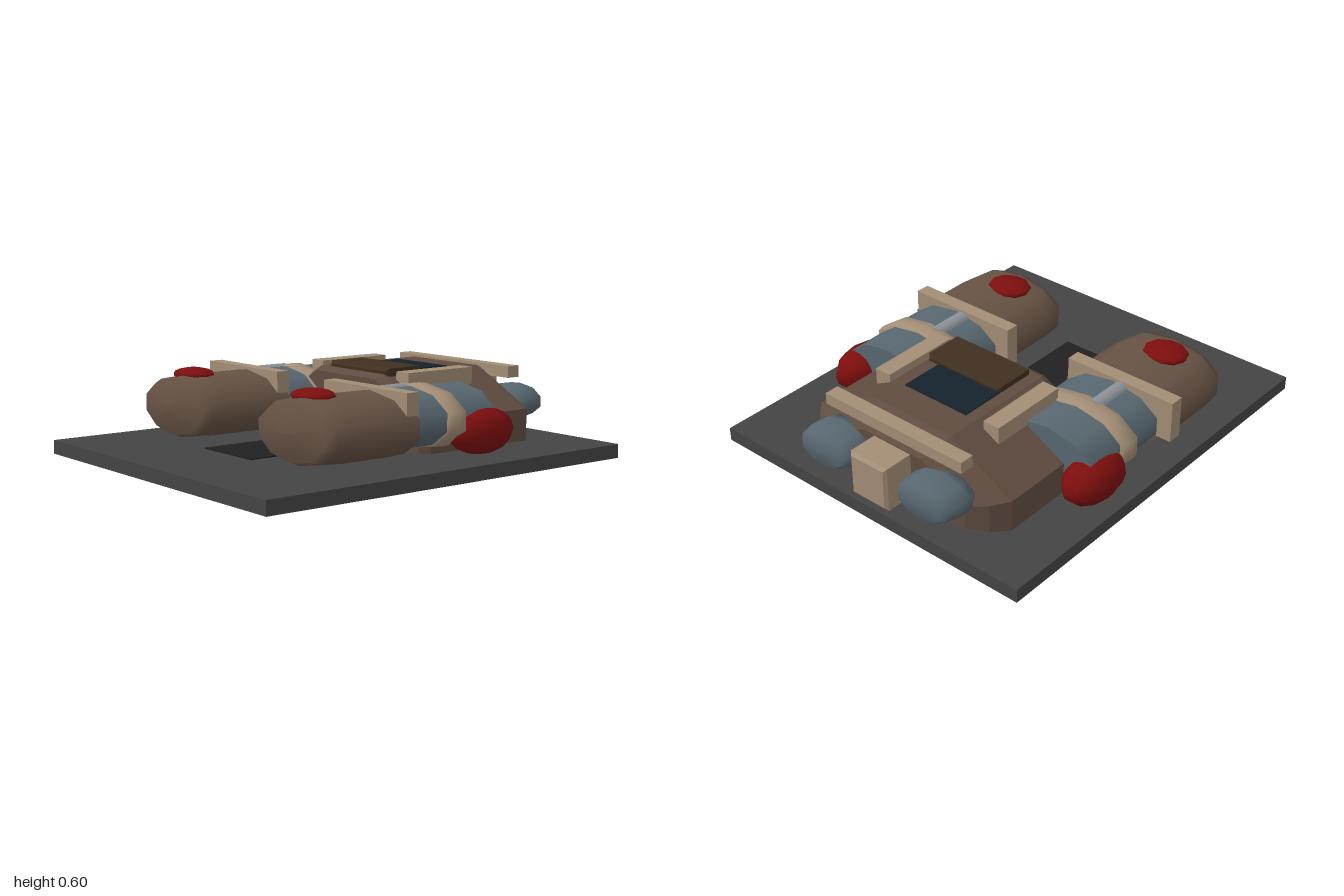
import * as THREE from 'three';

const mat = (color, flat = false) =>
  new THREE.MeshStandardMaterial({ color, flatShading: flat, side: THREE.DoubleSide });
const M = {
  slab: mat(0x444444, true), black: mat(0x212121, true), hull: mat(0x604c40, true),
  foot: mat(0x665244), tan: mat(0xa38e76, true), band: mat(0xa38e76), blue: mat(0x586770),
  red: mat(0x7d0e0e), steel: mat(0x8c9296), glass: mat(0x15232d, true), hatch: mat(0x3f2f1f, true),
};

// Everything except the slab is centred on this line
const CX = -0.04;

export function createModel() {
  const root = new THREE.Group();

  const add = (name, geo, material, x = 0, y = 0, z = 0) => {
    const m = new THREE.Mesh(geo, material);
    m.name = name;
    m.position.set(x, y, z);
    root.add(m);
    return m;
  };

  // Box given by its two extreme corners
  const box = (name, material, [x0, y0, z0], [x1, y1, z1]) =>
    add(name, new THREE.BoxGeometry(x1 - x0, y1 - y0, z1 - z0), material,
      (x0 + x1) / 2, (y0 + y1) / 2, (z0 + z1) / 2);

  // Ten-sided oval solid along z, from [radius, z] pairs; front end last
  const oval = (name, material, x, y, rx, ry, profile) => {
    const geo = new THREE.LatheGeometry(profile.map(([r, z]) => new THREE.Vector2(r, z)), 10);
    geo.rotateX(Math.PI / 2);
    geo.scale(rx, ry, 1);
    return add(name, geo, material, x, y, 0);
  };

  const ellipsoid = (name, x, y, z, rx, ry, rz) => {
    const geo = new THREE.SphereGeometry(1, 10, 8);
    geo.scale(rx, ry, rz);
    return add(name, geo, M.red, x, y, z);
  };

  // Chamfered block, extruded along z and given by its centre
  const chamfered = (name, material, w, h, d, b, x, y, z) => {
    const a = w / 2 - b, c = h / 2 - b;
    const shape = new THREE.Shape([[-a, -c], [a, -c], [a, c], [-a, c]].map(p => new THREE.Vector2(...p)));
    const geo = new THREE.ExtrudeGeometry(shape, {
      depth: d - 2 * b, bevelThickness: b, bevelSize: b, bevelSegments: 1,
    });
    geo.center();
    return add(name, geo, material, x, y, z);
  };

  // Base slab and the dark strip between the feet
  box('baseSlab', M.slab, [-0.855, 0.185, -1], [0.855, 0.25, 1]);
  box('floorStrip', M.black, [-0.22, 0.24, -0.12], [0.14, 0.256, 0.57]);

  // Faceted hull: octagonal sections tapering at both ends
  add('hull', hullGeometry(), M.hull, CX, 0.2875, 0);

  // Hull top fittings
  for (const s of [-1, 1])
    box('topRail', M.tan, [CX + s * 0.315 - 0.042, 0.5, -0.575], [CX + s * 0.315 + 0.042, 0.59, -0.18]);
  box('rearBar', M.tan, [-0.43, 0.525, -0.845], [0.355, 0.58, -0.775]);
  box('glassPanel', M.glass, [-0.215, 0.55, -0.575], [0.14, 0.58, -0.35]);
  chamfered('hatch', M.hatch, 0.425, 0.06, 0.215, 0.014, -0.003, 0.572, -0.2525);

  // Limbs: the two assemblies share one shape
  for (const s of [-1, 1]) {
    const x = CX + s * 0.465;
    oval('upperLimb', M.blue, x, 0.415, 0.255, 0.135,
      [[0, -0.39], [0.98, -0.39], [0.98, -0.39], [1, -0.16]]);
    oval('lowerLimb', M.blue, x, 0.415, 0.258, 0.135, [[1, -0.16], [1, 0.1], [1, 0.1], [0, 0.1]]);
    oval('limbBand', M.band, x, 0.415, 0.287, 0.148,
      [[0.85, -0.195], [0.97, -0.19], [1, -0.145], [0.97, -0.1], [0.85, -0.095]]);
    oval('foot', M.foot, x, 0.405, 0.287, 0.15,
      [[0, 0.08], [0.98, 0.08], [0.98, 0.08], [1, 0.2], [1, 0.42], [0.96, 0.52], [0.84, 0.565], [0, 0.583]]);
    box('anklePlate', M.tan, [x - 0.32, 0.365, 0.07], [x + 0.25, 0.565, 0.138]);
    ellipsoid('footCap', x - 0.04, 0.548, 0.415, 0.11, 0.032, 0.095);
    ellipsoid('sidePod', CX + s * 0.675, 0.355, -0.33, 0.112, 0.107, 0.18);

    // Piston on top of the limb
    const rod = new THREE.CylinderGeometry(0.042, 0.042, 0.2, 12);
    rod.rotateX(Math.PI / 2);
    add('piston', rod, M.steel, x - 0.043, 0.518, -0.02);

    // Rear thruster
    oval('thruster', M.blue, CX + s * 0.2875, 0.397, 0.161, 0.086,
      [[0, -1], [0.72, -0.995], [0.9, -0.97], [1, -0.91], [1, -0.85], [0.9, -0.8], [0, -0.79]]);
  }

  // Rear block between the thrusters
  chamfered('rearBlock', M.tan, 0.21, 0.215, 0.2, 0.014, CX, 0.3825, -0.9);

  return root;
}

function hullGeometry() {
  const ring = [[0.23, -0.2875], [0.56, -0.113], [0.56, 0.113], [0.23, 0.2875],
    [-0.23, 0.2875], [-0.56, 0.113], [-0.56, -0.113], [-0.23, -0.2875]];
  // [z, scale] from back to front
  const sections = [[-0.848, 0.72], [-0.8, 0.89], [-0.73, 1], [-0.14, 1], [-0.1, 0.93]];
  const pos = [], idx = [], n = ring.length;
  for (const [z, k] of sections) for (const [x, y] of ring) pos.push(x * k, y * k, z);
  for (let i = 0; i < sections.length - 1; i++)
    for (let j = 0; j < n; j++) {
      const a = i * n + j, b = i * n + (j + 1) % n;
      idx.push(a, b, b + n, a, b + n, a + n);
    }
  const last = (sections.length - 1) * n;
  for (let j = 1; j < n - 1; j++) idx.push(0, j + 1, j, last, last + j, last + j + 1);
  const geo = new THREE.BufferGeometry();
  geo.setAttribute('position', new THREE.Float32BufferAttribute(pos, 3));
  geo.setIndex(idx);
  const flat = geo.toNonIndexed();
  flat.computeVertexNormals();
  return flat;
}
